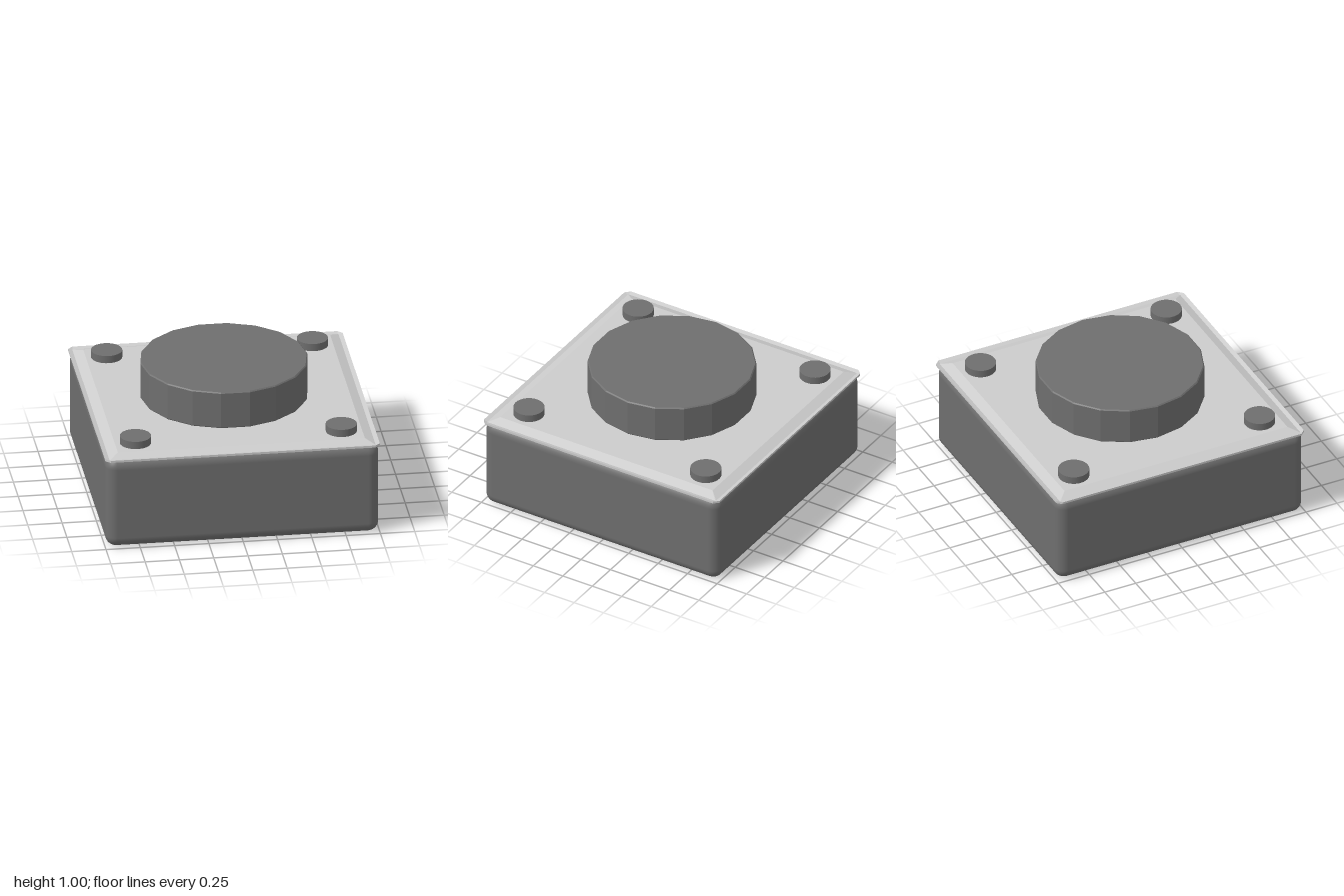
import * as THREE from 'three';
import { RoundedBoxGeometry } from 'three/addons/geometries/RoundedBoxGeometry.js';

const dark = new THREE.MeshStandardMaterial({ color: 0x6e6e6e });
const darkFlat = new THREE.MeshStandardMaterial({ color: 0x6e6e6e, flatShading: true });
const light = new THREE.MeshStandardMaterial({ color: 0xcccccc, flatShading: true });

function addMesh(parent, name, geometry, material, x = 0, y = 0, z = 0) {
  const mesh = new THREE.Mesh(geometry, material);
  mesh.name = name;
  mesh.position.set(x, y, z);
  parent.add(mesh);
  return mesh;
}

// Square with clipped corners, counter-clockwise seen from above
function clippedSquare(half, clip, y) {
  const k = half - clip;
  return [[half, k], [half, -k], [k, -half], [-k, -half], [-half, -k], [-half, k], [-k, half], [k, half]]
    .map(([x, z]) => [x, y, z]);
}

// Joins cross-sections [half width, corner clip, height] and caps both ends
function plateGeometry(sections) {
  const loops = sections.map((s) => clippedSquare(...s));
  const positions = [];
  const tri = (...corners) => corners.forEach((p) => positions.push(...p));
  for (let i = 0; i < loops.length - 1; i++) {
    for (let j = 0; j < 8; j++) {
      const n = (j + 1) % 8;
      const a = loops[i][j], b = loops[i][n], c = loops[i + 1][n], d = loops[i + 1][j];
      tri(a, b, c);
      tri(a, c, d);
    }
  }
  const bottom = loops[0], top = loops[loops.length - 1];
  for (let j = 1; j < 7; j++) {
    tri(bottom[0], bottom[j + 1], bottom[j]);
    tri(top[0], top[j], top[j + 1]);
  }
  const geometry = new THREE.BufferGeometry();
  geometry.setAttribute('position', new THREE.Float32BufferAttribute(positions, 3));
  geometry.computeVertexNormals();
  return geometry;
}

export function createModel() {
  const model = new THREE.Group();
  model.name = 'boxWithKnob';

  // Rounded housing
  addMesh(model, 'housing', new RoundedBoxGeometry(1.99, 0.7, 1.99, 5, 0.08), dark, 0, 0.35, 0);

  // Cover plate: raised lip, shallow gutter, slope up to the flat top
  addMesh(model, 'coverPlate', plateGeometry([
    [1.0, 0.035, 0.685],
    [1.0, 0.035, 0.701],
    [0.97, 0.004, 0.692],
    [0.9, 0.002, 0.72],
  ]), light);

  // Eighteen-sided knob with slightly eased edges
  const knobProfile = [[0, 0.722], [0.602, 0.722], [0.61, 0.73], [0.61, 0.997], [0.602, 1.005], [0, 1.005]]
    .map(([r, y]) => new THREE.Vector2(r, y));
  addMesh(model, 'knob', new THREE.LatheGeometry(knobProfile, 18, Math.PI / 2), darkFlat);

  // Four corner buttons
  const buttonGeometry = new THREE.CylinderGeometry(0.113, 0.113, 0.065, 32);
  for (const x of [-0.75, 0.75]) {
    for (const z of [-0.75, 0.75]) {
      const name = (z > 0 ? 'front' : 'back') + (x > 0 ? 'Left' : 'Right') + 'Button';
      addMesh(model, name, buttonGeometry, dark, x, 0.744, z);
    }
  }
  return model;
}
